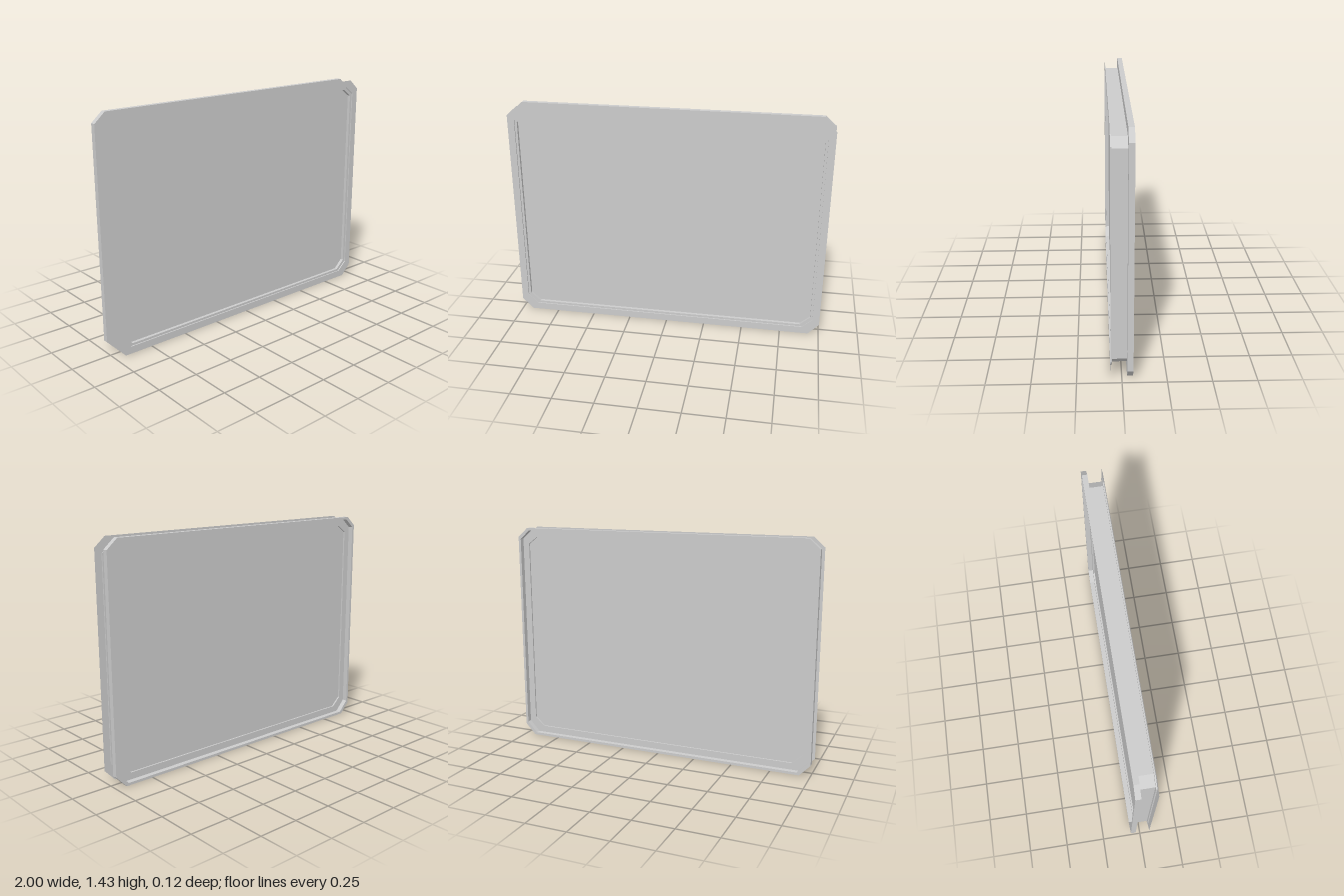
import * as THREE from 'three';

const MID_Y = 0.715;

// Clipped-corner outlines: half width, half height, corner cut in x, cut at top, cut at bottom
const OUTER = [1, 0.715, 0.068, 0.06, 0.072];
const RIM = [0.984, 0.699, 0.066, 0.058, 0.07];
const STEP = [0.956, 0.67, 0.064, 0.047, 0.058];
const WALL = [0.941, 0.656, 0.063, 0.047, 0.057];

function corners([w, h, cx, top, bottom]) {
  return [
    [-w + cx, -h], [w - cx, -h], [w, -h + bottom], [w, h - top],
    [w - cx, h], [-w + cx, h], [-w, h - top], [-w, -h + bottom],
  ];
}

export function createModel() {
  const group = new THREE.Group();
  const material = new THREE.MeshStandardMaterial({
    color: 0xcccccc, flatShading: true, side: THREE.DoubleSide,
  });

  function addPart(name, geometry, z) {
    const mesh = new THREE.Mesh(geometry, material);
    mesh.name = name;
    mesh.position.set(0, MID_Y, z);
    group.add(mesh);
  }

  // Thin sheet folded through a series of [outline, depth] loops
  function addSheet(name, loops) {
    const positions = [];
    for (let i = 0; i < loops.length - 1; i++) {
      const [a, b] = [loops[i], loops[i + 1]].map(([outline, z]) =>
        corners(outline).map(([x, y]) => [x, y, z]));
      for (let j = 0; j < 8; j++) {
        const k = (j + 1) % 8;
        positions.push(...a[j], ...b[j], ...b[k], ...a[j], ...b[k], ...a[k]);
      }
    }
    const geometry = new THREE.BufferGeometry();
    geometry.setAttribute('position', new THREE.Float32BufferAttribute(positions, 3));
    geometry.computeVertexNormals();
    addPart(name, geometry, 0);
  }

  // Flat front border, stepping down to a narrow ledge
  addSheet('frontBorder', [[OUTER, 0.0625], [STEP, 0.0625], [STEP, 0.055], [WALL, 0.055]]);
  // Wall joining front and back
  addSheet('sideWall', [[WALL, 0.055], [WALL, -0.03]]);
  // Back flange with a raised rim around its edge
  addSheet('backFlange', [[WALL, -0.03], [OUTER, -0.03], [OUTER, -0.0625], [RIM, -0.0625], [RIM, -0.03]]);

  // Centre panel, recessed on both sides
  const panel = new THREE.Shape(corners(WALL).map(([x, y]) => new THREE.Vector2(x, y)));
  addPart('centrePanelFront', new THREE.ShapeGeometry(panel), 0.035);
  addPart('centrePanelBack', new THREE.ShapeGeometry(panel), -0.02);

  return group;
}
